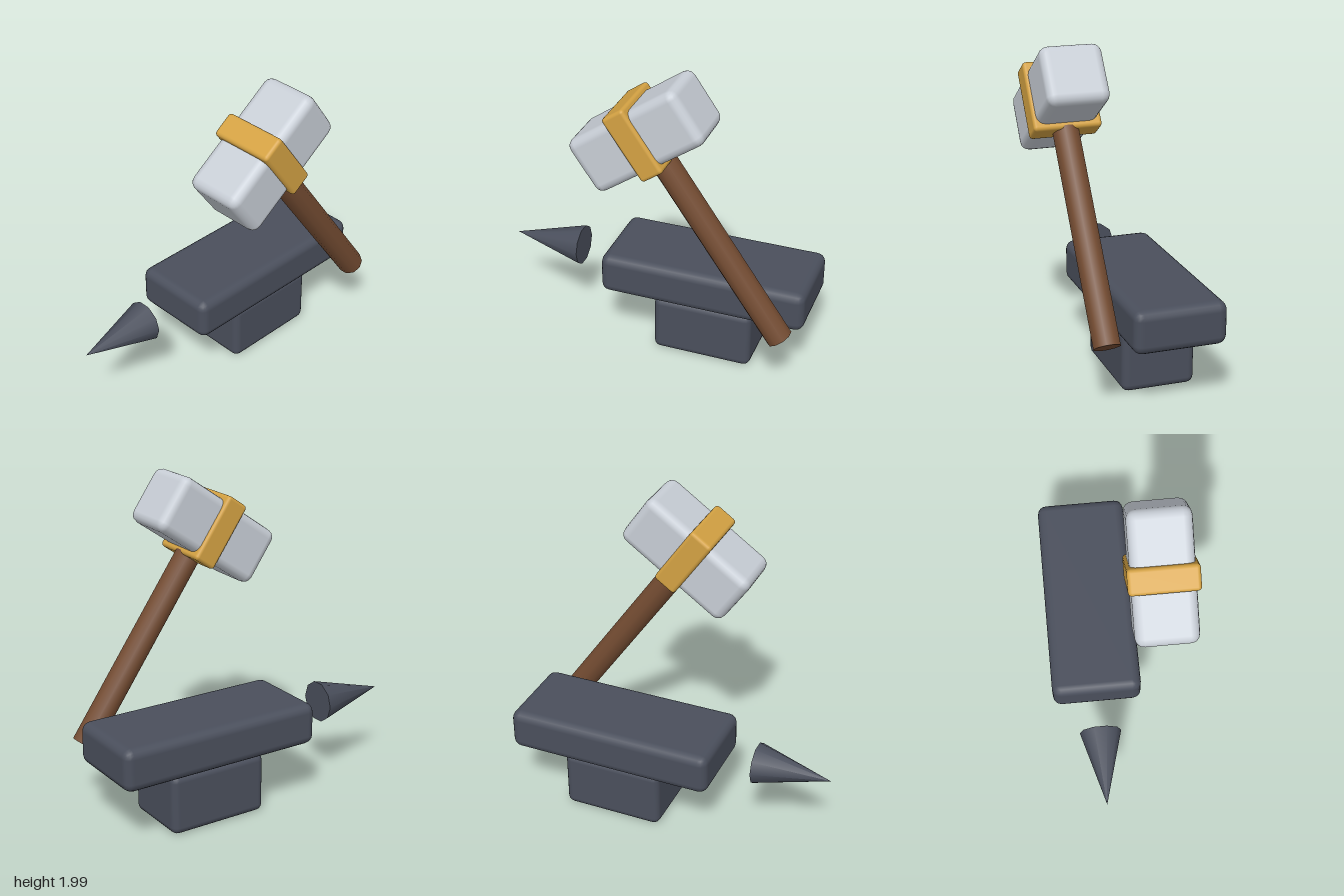
import * as THREE from 'three';
import { RoundedBoxGeometry } from 'three/addons/geometries/RoundedBoxGeometry.js';

export function createModel() {
  const model = new THREE.Group();
  model.name = 'hammerAndAnvil';

  const material = (name, color) => {
    const m = new THREE.MeshStandardMaterial({ color });
    m.name = name;
    return m;
  };
  const iron = material('dark iron', 0x4a4f5c);
  const steel = material('pale steel', 0xc8ced6);
  const gold = material('gold', 0xd4a243);
  const wood = material('brown wood', 0x744c32);

  const add = (parent, name, geometry, mat, x, y, z) => {
    const mesh = new THREE.Mesh(geometry, mat);
    mesh.name = name;
    mesh.position.set(x, y, z);
    parent.add(mesh);
    return mesh;
  };
  const block = (w, h, d, r) => new RoundedBoxGeometry(w, h, d, 2, r);

  // Anvil: body, foot and a separate pointed horn
  const anvil = new THREE.Group();
  anvil.name = 'anvil';
  model.add(anvil);
  add(anvil, 'anvilBody', block(1.31, 0.26, 0.56, 0.055), iron, 0.345, 0.508, -0.17);
  add(anvil, 'anvilFoot', block(0.635, 0.375, 0.45, 0.045), iron, 0.345, 0.1875, -0.167);
  const horn = add(anvil, 'anvilHorn', new THREE.ConeGeometry(0.13, 0.465, 10), iron, -0.7675, 0.508, -0.17);
  horn.rotation.z = Math.PI / 2;

  // Hammer: built upright around its head, then tilted
  const hammer = new THREE.Group();
  hammer.name = 'hammer';
  hammer.position.set(0.045, 1.64, 0.24);
  hammer.rotation.z = THREE.MathUtils.degToRad(35);
  model.add(hammer);
  add(hammer, 'hammerHead', block(0.785, 0.36, 0.37, 0.055), steel, 0, 0, 0);
  add(hammer, 'headBand', block(0.155, 0.43, 0.41, 0.022), gold, 0, 0, 0);
  add(hammer, 'handle', new THREE.CylinderGeometry(0.081, 0.081, 1.4, 10), wood, 0, -0.79, 0);

  return model;
}
